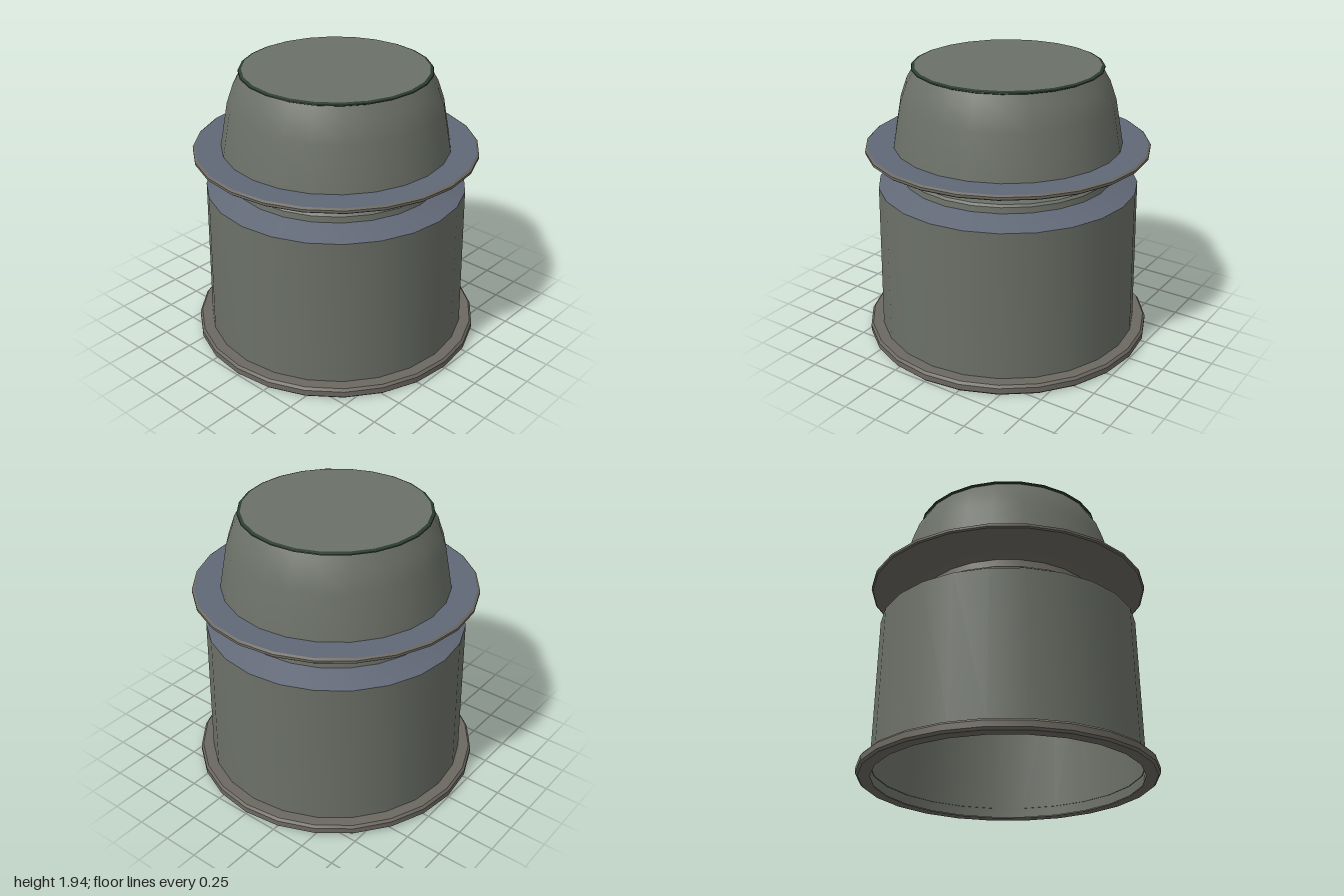
import * as THREE from 'three';
import { toCreasedNormals } from 'three/addons/utils/BufferGeometryUtils.js';

const SIDES = 24;

export function createModel() {
  const group = new THREE.Group();
  const material = (color) => new THREE.MeshStandardMaterial({ color, side: THREE.DoubleSide });
  const green = material(0x6b7067);
  const brown = material(0x6c6861);
  const blue = material(0x616876);
  const dark = material(0x2c3d2e);

  // Turns a profile of [radius, height] pairs, listed bottom to top along the outside
  function turned(name, mat, profile) {
    const points = profile.map(([r, y]) => new THREE.Vector2(r, y));
    const mesh = new THREE.Mesh(toCreasedNormals(new THREE.LatheGeometry(points, SIDES), 0.6), mat);
    mesh.name = name;
    group.add(mesh);
  }

  // Foot ring, open in the middle
  turned('footRing', brown, [
    [0.905, 0], [0.985, 0], [1, 0.015], [1, 0.055], [0.985, 0.072], [0.905, 0.072],
  ]);

  // Hollow body and its sloped shoulder
  turned('bodyWall', green, [[0.91, 0.005], [0.91, 0.072], [0.893, 1.11]]);
  turned('shoulder', blue, [[0.893, 1.11], [0.73, 1.17]]);
  turned('collar', green, [[0.73, 1.17], [0.725, 1.21], [0.71, 1.225], [0.63, 1.225]]);

  // Recessed neck
  turned('neck', brown, [[0.635, 1.225], [0.62, 1.325]]);

  // Wide flange: conical underside, rounded edge, flat top
  turned('flangeUnderside', brown, [[0.62, 1.325], [0.77, 1.36], [0.96, 1.36]]);
  turned('flangeEdge', brown, [[0.96, 1.36], [0.97, 1.368], [0.97, 1.385], [0.955, 1.395]]);
  turned('flangeTop', blue, [[0.955, 1.395], [0.78, 1.395]]);

  // Domed upper part
  turned('dome', green, [[0.78, 1.395], [0.725, 1.7], [0.68, 1.83], [0.63, 1.915]]);

  // Thin rim around the lid
  turned('lidRim', dark, [[0.625, 1.912], [0.645, 1.922], [0.642, 1.928], [0.622, 1.936]]);

  // Flat lid
  const lid = new THREE.Mesh(new THREE.CircleGeometry(0.622, SIDES).rotateX(-Math.PI / 2), green);
  lid.name = 'lid';
  lid.position.y = 1.936;
  group.add(lid);

  return group;
}
